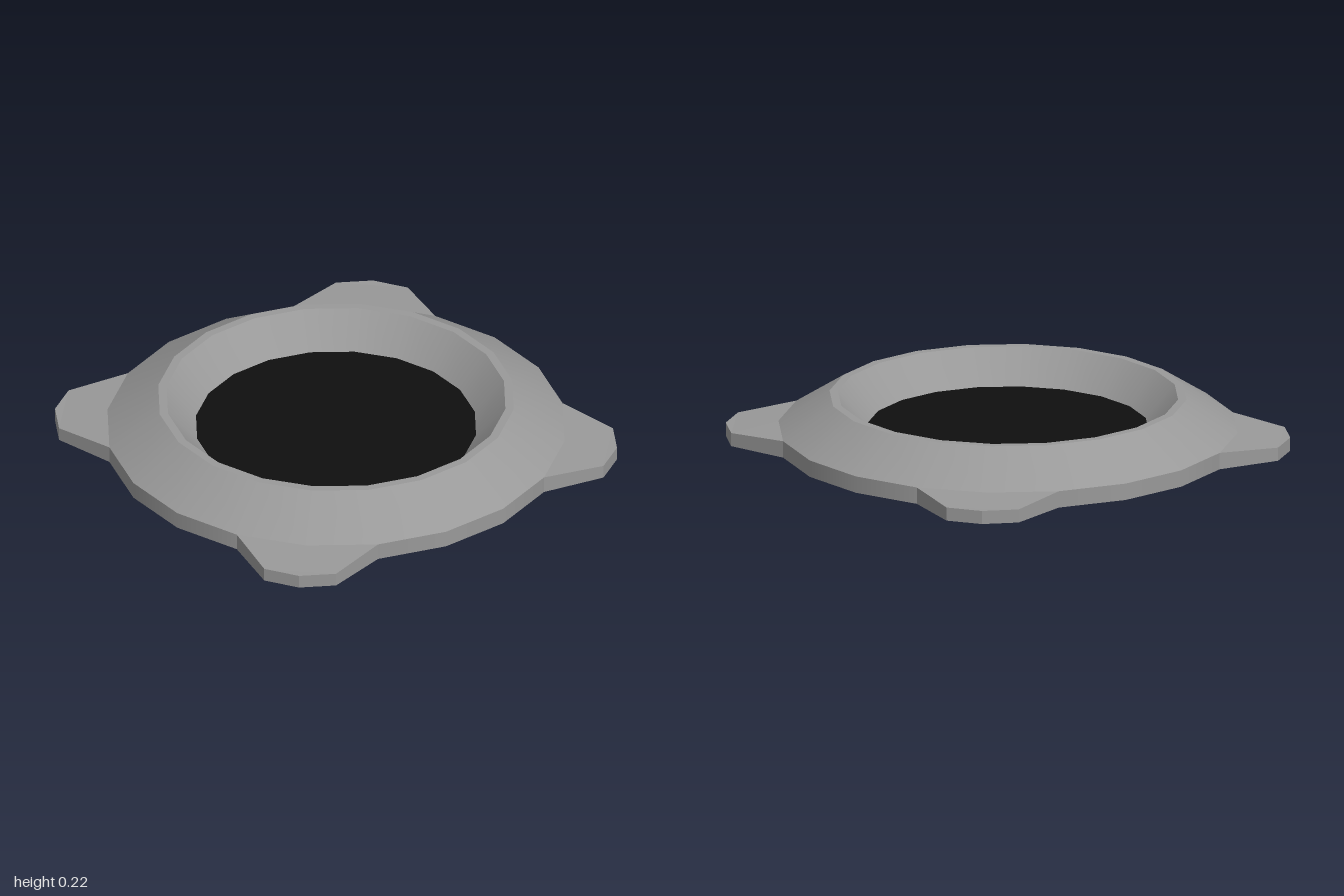
import * as THREE from 'three';

const SIDES = 20;
const R = 1.012, EDGE_Y = 0.075, TOP_Y = 0.22;

export function createModel() {
  const model = new THREE.Group();
  model.name = 'ringBase';
  const grey = new THREE.MeshStandardMaterial({ color: 0x999999 });
  grey.name = 'grey metal';
  const black = new THREE.MeshStandardMaterial({ color: 0x0f0f0f });
  black.name = 'black opening';

  // One band of the ring between two profile points (radius, height)
  const band = (name, from, to, material = grey) => {
    const profile = [new THREE.Vector2(...from), new THREE.Vector2(...to)];
    const mesh = new THREE.Mesh(new THREE.LatheGeometry(profile, SIDES, Math.PI / SIDES), material);
    mesh.name = name;
    model.add(mesh);
  };

  // Ring body, separate bands keep the creases sharp
  band('underside', [0, 0], [R, 0]);
  band('outerWall', [R, 0], [R, EDGE_Y]);
  band('outerSlope', [R, EDGE_Y], [0.787, TOP_Y]);
  band('topRim', [0.787, TOP_Y], [0.75, TOP_Y]);
  band('innerSlope', [0.75, TOP_Y], [0.62, EDGE_Y]);
  band('floor', [0.62, EDGE_Y], [0, EDGE_Y], black);

  // Corner tab outline, joined to three vertices of the ring
  const onRing = deg => {
    const a = THREE.MathUtils.degToRad(deg);
    return new THREE.Vector2(R * Math.cos(a), R * Math.sin(a));
  };
  const outline = [
    onRing(27),
    new THREE.Vector2(0.965, 0.74),
    new THREE.Vector2(0.88, 0.88),
    new THREE.Vector2(0.74, 0.965),
    onRing(63),
    onRing(45),
  ];
  const tabGeometry = new THREE.ExtrudeGeometry(new THREE.Shape(outline), { depth: EDGE_Y, bevelEnabled: false });
  tabGeometry.rotateX(-Math.PI / 2);

  // Tab tops dip slightly towards the outside
  const p = tabGeometry.attributes.position;
  for (let i = 0; i < p.count; i++) {
    if (p.getY(i) > 0.01 && Math.hypot(p.getX(i), p.getZ(i)) > 1.1) p.setY(i, 0.06);
  }
  tabGeometry.computeVertexNormals();

  for (let i = 0; i < 4; i++) {
    const tab = new THREE.Mesh(tabGeometry, grey);
    tab.name = `cornerTab${i + 1}`;
    tab.rotation.y = i * Math.PI / 2;
    model.add(tab);
  }
  return model;
}
